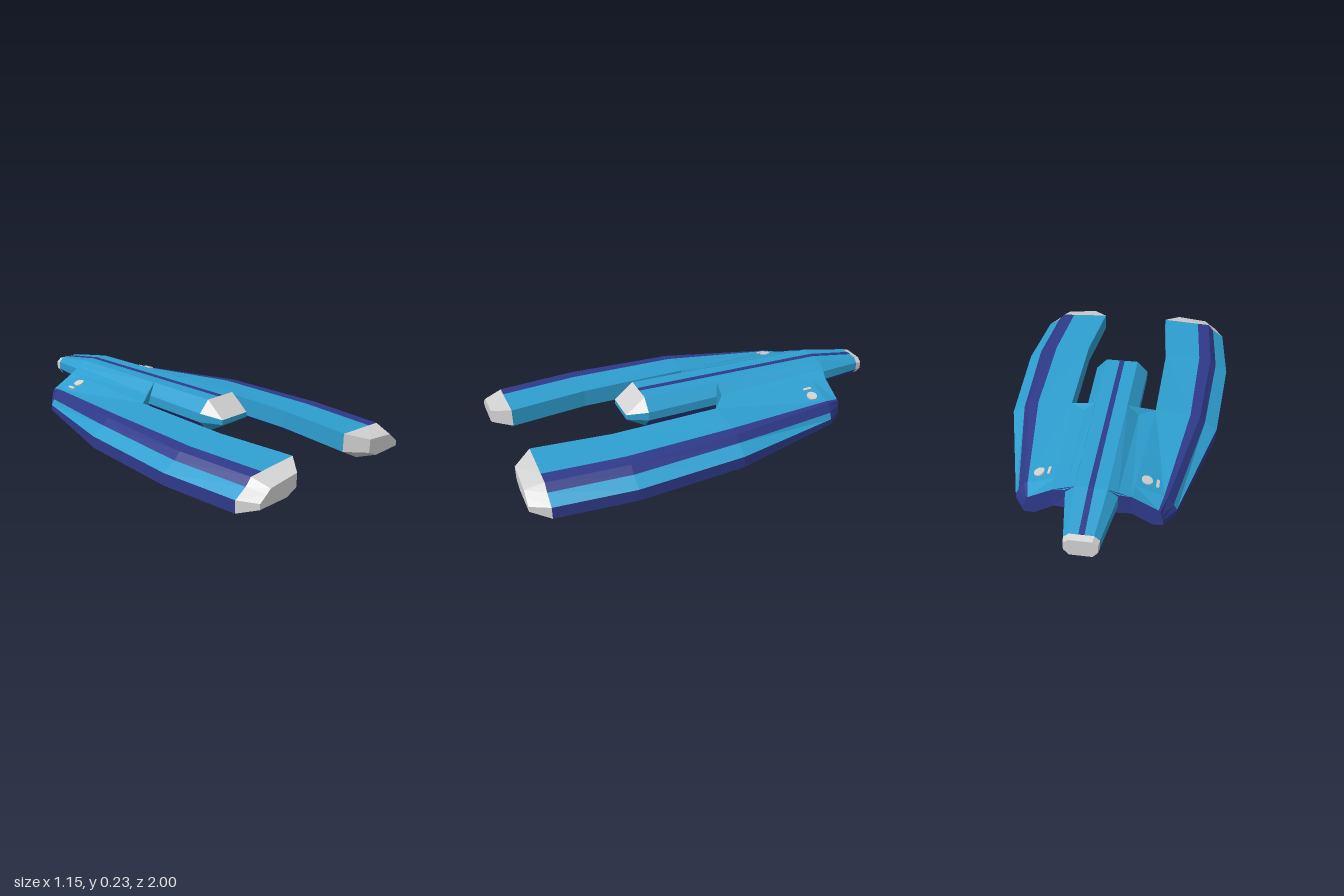
import * as THREE from 'three';

const blue = new THREE.MeshStandardMaterial({ color: 0x2e9fd0 });
blue.name = 'hullBlue';
const navy = new THREE.MeshStandardMaterial({ color: 0x2f3a8a });
navy.name = 'trimNavy';
const grey = new THREE.MeshStandardMaterial({ color: 0xd2d2d2 });
grey.name = 'capGrey';
const palette = [blue, navy, grey];
const B = 0, N = 1, G = 2;

// Skin rings of [x, y, z] from front to rear. Rings run clockwise seen from +z.
// colours(segment, strip) gives the palette index; ends = [front, rear] or null for open.
function loft(name, rings, colours, ends, mirror = false) {
  const lists = palette.map(() => []);
  const tri = (c, p, q, r) => {
    for (const v of mirror ? [p, r, q] : [p, q, r]) lists[c].push(mirror ? -v[0] : v[0], v[1], v[2]);
  };
  const n = rings[0].length;
  for (let s = 0; s < rings.length - 1; s++) {
    const a = rings[s], b = rings[s + 1];
    for (let i = 0; i < n; i++) {
      const j = (i + 1) % n, c = colours(s, i);
      tri(c, a[i], a[j], b[j]);
      tri(c, a[i], b[j], b[i]);
    }
  }
  const front = rings[0], rear = rings[rings.length - 1];
  for (let i = 1; i < n - 1; i++) {
    if (ends[0] !== null) tri(ends[0], front[0], front[i + 1], front[i]);
    if (ends[1] !== null) tri(ends[1], rear[0], rear[i], rear[i + 1]);
  }
  const geo = new THREE.BufferGeometry();
  geo.setAttribute('position', new THREE.Float32BufferAttribute(lists.flat(), 3));
  let start = 0;
  lists.forEach((list, c) => {
    if (list.length) geo.addGroup(start, list.length / 3, c);
    start += list.length / 3;
  });
  geo.computeVertexNormals();
  const mesh = new THREE.Mesh(geo, palette);
  mesh.name = name;
  return mesh;
}

const ring = (z, pts) => pts.map(([x, y]) => [x, y, z]);

// Eight-sided symmetric fuselage ring
function bodyRing(z, top, yTop, side, ySideTop, ySideLow, base, yBase) {
  const half = [[top, yTop], [side, ySideTop], [side, ySideLow], [base, yBase]];
  return ring(z, [...half, ...half.map(([x, y]) => [-x, y]).reverse()]);
}

export function createModel() {
  const model = new THREE.Group();
  model.name = 'spaceship';

  // Fuselage with navy belly, wedge nose and tail cap
  const nose = bodyRing(0.4, 0.085, 0.145, 0.085, 0.145, 0.12, 0.085, 0.12);
  const shoulder = bodyRing(0.3, 0.085, 0.225, 0.14, 0.165, 0.12, 0.085, 0.06);
  const waist = bodyRing(-0.72, 0.075, 0.205, 0.12, 0.16, 0.108, 0.075, 0.06);
  const tail = bodyRing(-0.97, 0.055, 0.165, 0.08, 0.142, 0.1, 0.055, 0.068);
  const tip = bodyRing(-1, 0.052, 0.157, 0.076, 0.138, 0.1, 0.052, 0.07);
  const bodyColours = [B, B, N, N, N, B, B, B];
  const noseColours = [G, B, B, B, B, B, G, G];
  model.add(loft('fuselage', [shoulder, waist, tail], (s, i) => bodyColours[i], [null, null]));
  model.add(loft('nose', [nose, shoulder], (s, i) => noseColours[i], [B, null]));
  model.add(loft('tailCap', [tail, tip], () => G, [null, G]));

  // Navy stripe along the spine
  const stripeRing = (z, y) => ring(z, [[-0.013, y + 0.002], [0.013, y + 0.002], [0.013, y - 0.003], [-0.013, y - 0.003]]);
  model.add(loft('spineStripe', [stripeRing(0.3, 0.225), stripeRing(-0.72, 0.205), stripeRing(-0.97, 0.165)], () => N, [N, N]));

  // Pontoon rings: inner top, stripe edge, top edge, stripe edge, outer, outer base, inner base, inner low
  const pontoon = [
    ring(0.91, [[0.185, 0.15], [0.385, 0.139], [0.45, 0.135], [0.48, 0.1], [0.54, 0.06], [0.54, 0], [0.3, 0], [0.185, 0.06]]),
    ring(0.52, [[0.225, 0.15], [0.415, 0.139], [0.48, 0.135], [0.511, 0.1], [0.575, 0.06], [0.575, 0], [0.33, 0], [0.225, 0.06]]),
    ring(-0.03, [[0.22, 0.153], [0.4, 0.139], [0.45, 0.135], [0.477, 0.1], [0.54, 0.06], [0.54, 0], [0.32, 0], [0.22, 0.058]]),
    ring(-0.62, [[0.184, 0.155], [0.32, 0.105], [0.337, 0.1], [0.366, 0.06], [0.382, 0.03], [0.382, 0], [0.285, 0], [0.184, 0.055]]),
    ring(-0.7, [[0.18, 0.155], [0.303, 0.09], [0.312, 0.085], [0.318, 0.06], [0.325, 0.03], [0.325, 0], [0.275, 0], [0.18, 0.055]]),
  ];
  const pontoonColours = [B, N, N, B, N, N, N, B];
  const pontoonFront = ring(1, [[0.265, 0.126], [0.385, 0.113], [0.43, 0.108], [0.454, 0.088], [0.492, 0.06], [0.492, 0.033], [0.325, 0.033], [0.265, 0.06]]);

  // Bridge between fuselage and pontoon, with swept front wall
  const bridge = [
    [[0.083, 0.218, -0.1], [0.14, 0.167, -0.1], [0.22, 0.153, -0.03], [0.22, 0.058, -0.03], [0.14, 0.07, -0.1], [0.08, 0.065, -0.1]],
    [[0.076, 0.205, -0.72], [0.12, 0.178, -0.72], [0.18, 0.155, -0.7], [0.18, 0.055, -0.7], [0.12, 0.07, -0.72], [0.075, 0.065, -0.72]],
  ];
  const bridgeColours = [B, B, B, N, N, B];

  for (const [side, mirror] of [['left', false], ['right', true]]) {
    model.add(loft(side + 'Pontoon', pontoon,
      (s, i) => (s === 3 && i === 3 ? N : pontoonColours[i]), [null, N], mirror));
    model.add(loft(side + 'PontoonCap', [pontoonFront, pontoon[0]], () => G, [G, null], mirror));
    model.add(loft(side + 'Bridge', bridge, (s, i) => bridgeColours[i], [B, N], mirror));
  }

  // Small plain hatch plates on the rear decks
  const hatch = (name, x, geo) => {
    const mesh = new THREE.Mesh(geo, grey);
    mesh.name = name;
    mesh.position.set(x, 0.155 - 0.313 * (Math.abs(x) - 0.184) + 0.001, -0.56);
    mesh.rotation.z = -Math.sign(x) * 0.303;
    model.add(mesh);
  };
  for (const x of [0.275, -0.235]) {
    hatch('roundHatch', x, new THREE.CylinderGeometry(0.027, 0.027, 0.008, 20));
    hatch('slotHatch', x - 0.05, new THREE.BoxGeometry(0.014, 0.008, 0.045));
  }
  return model;
}
